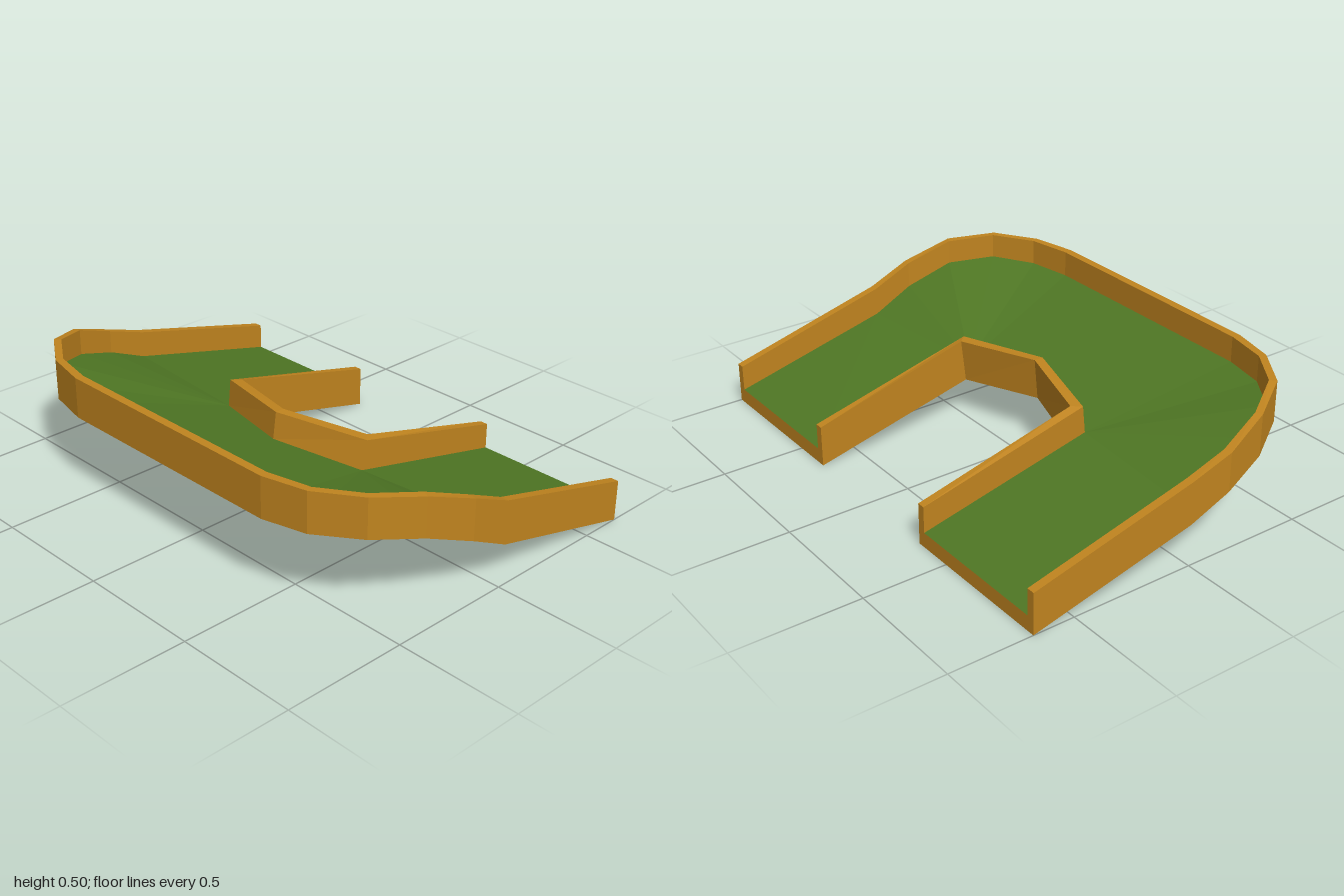
import * as THREE from 'three';

const WOOD = 0xc0841f, TURF = 0x4f7724;
const FLOOR = 0.06; // slab thickness

// Outer kerb points: outer [x, z], inset [x, z], bottom y, top y
const outer = [
  [-1, -0.667, -0.967, -0.667, 0, 0.165],
  [-1, 0, -0.967, 0, 0.165, 0.335],
  [-1, 0.17, -0.967, 0.165, 0.235, 0.39],
  [-0.957, 0.35, -0.93, 0.34, 0.295, 0.46],
  [-0.857, 0.515, -0.835, 0.495, 0.335, 0.498],
  [-0.69, 0.625, -0.68, 0.597, 0.336, 0.5],
  [-0.51, 0.665, -0.505, 0.632, 0.336, 0.5],
  [0.51, 0.665, 0.505, 0.632, 0.336, 0.5],
  [0.69, 0.625, 0.68, 0.597, 0.34, 0.502],
  [0.857, 0.515, 0.835, 0.495, 0.345, 0.503],
  [0.96, 0.345, 0.93, 0.33, 0.325, 0.483],
  [1, 0.15, 0.967, 0.145, 0.25, 0.415],
  [1, -0.02, 0.967, -0.02, 0.165, 0.34],
  [1, -0.667, 0.967, -0.667, 0, 0.165],
];

// Inner kerb points: x, top z, bottom z, inset x, inset top z, inset floor z, bottom y, top y
const inner = [
  [-0.335, -0.667, -0.667, -0.367, -0.667, -0.667, 0, 0.165],
  [-0.335, 0, 0.01, -0.367, 0.034, 0.045, 0.165, 0.335],
  [0, 0.09, 0.105, 0, 0.128, 0.143, 0.192, 0.36],
  [0.335, -0.02, 0, 0.367, 0.015, 0.04, 0.165, 0.34],
  [0.335, -0.667, -0.667, 0.367, -0.667, -0.667, 0, 0.165],
];

// Which outer and inner points meet at each station; repeats make the corner fans
const stations = [
  [0, 0], [1, 1], [2, 1], [3, 1], [4, 1], [5, 1], [6, 1], [6, 2],
  [7, 2], [7, 3], [8, 3], [9, 3], [10, 3], [11, 3], [12, 3], [13, 4],
];

// Channel cross-section, from outer bottom round to inner bottom
function section([o, i]) {
  const [ox, oz, px, pz, ob, ot] = outer[o];
  const [ix, izt, izb, jx, jzt, jzf, ib, it] = inner[i];
  return [
    [ox, ob, oz], [ox, ot, oz], [px, ot, pz], [px, ob + FLOOR, pz],
    [jx, ib + FLOOR, jzf], [jx, it, jzt], [ix, it, izt], [ix, ib, izb],
  ].map((p) => new THREE.Vector3(...p));
}

// Flat mesh from quads, dropping collapsed triangles
function quadMesh(name, quads, color) {
  const points = [];
  for (const [a, b, c, d] of quads) {
    for (const t of [[a, b, c], [a, c, d]]) {
      if (new THREE.Triangle(...t).getArea() > 1e-7) points.push(...t);
    }
  }
  const geometry = new THREE.BufferGeometry().setFromPoints(points);
  geometry.computeVertexNormals();
  const material = new THREE.MeshStandardMaterial({ color, flatShading: true });
  const mesh = new THREE.Mesh(geometry, material);
  mesh.name = name;
  return mesh;
}

export function createModel() {
  const group = new THREE.Group();
  group.name = 'uTurnTrack';
  const rings = stations.map(section);

  // Strips swept along the track between neighbouring section points
  const sweep = (edges) => edges.flatMap(([a, b]) =>
    rings.slice(1).map((next, k) => [rings[k][a], next[a], next[b], rings[k][b]]));

  group.add(quadMesh('outerKerb', sweep([[0, 1], [1, 2], [2, 3]]), WOOD));
  group.add(quadMesh('innerKerb', sweep([[4, 5], [5, 6], [6, 7]]), WOOD));
  group.add(quadMesh('underside', sweep([[7, 0]]), WOOD));
  group.add(quadMesh('turf', sweep([[3, 4]]), TURF));

  // End faces: two posts joined by the slab edge
  const cap = (ring) => [[0, 1, 2, 3], [0, 3, 4, 7], [7, 4, 5, 6]].map((q) => q.map((n) => ring[n]));
  group.add(quadMesh('startEnd', cap(rings[0]), WOOD));
  group.add(quadMesh('finishEnd', cap(rings[rings.length - 1]).map((q) => q.reverse()), WOOD));
  return group;
}
